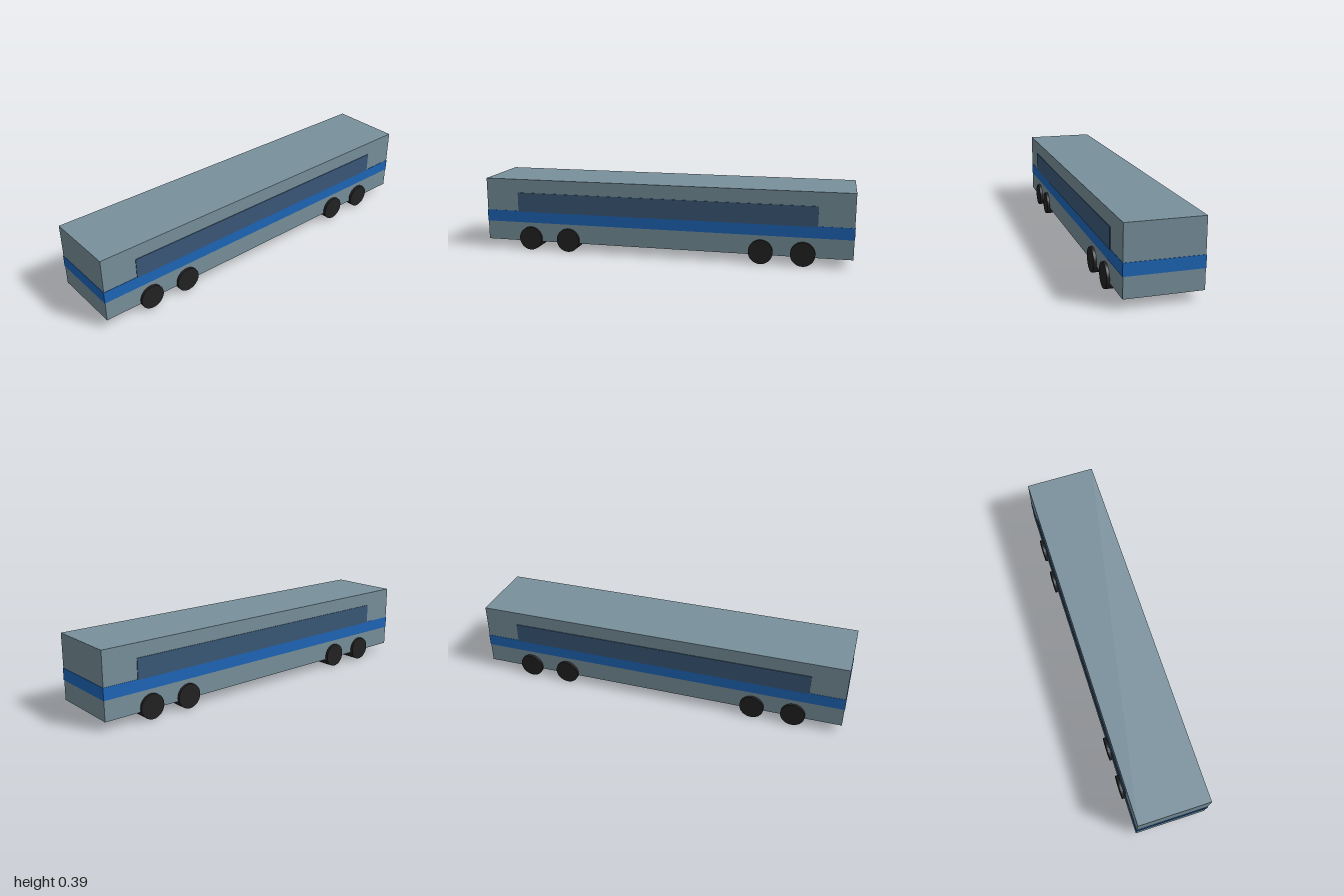
import * as THREE from 'three';

export function createModel() {
  const carriage = new THREE.Group();
  carriage.name = 'railCarriage';

  const paint = (color) => new THREE.MeshStandardMaterial({ color });
  const bodyPaint = paint(0x78909c);
  const stripePaint = paint(0x1e66b8);
  const glass = paint(0x3a5878);
  const rubber = paint(0x222222);

  // A box given by its half width, bottom, top and half length
  const addBox = (name, material, halfX, y0, y1, halfZ) => {
    const mesh = new THREE.Mesh(new THREE.BoxGeometry(2 * halfX, y1 - y0, 2 * halfZ), material);
    mesh.name = name;
    mesh.position.y = (y0 + y1) / 2;
    carriage.add(mesh);
  };

  addBox('body', bodyPaint, 0.191, 0.047, 0.392, 0.998);
  addBox('stripe', stripePaint, 0.1925, 0.151, 0.214, 1);
  // One band across the width shows as a window strip on each side
  addBox('windowBand', glass, 0.1945, 0.211, 0.318, 0.815);

  // Wheel rollers: two pairs, each spanning the full width
  const radius = 0.064;
  const wheelGeometry = new THREE.CylinderGeometry(radius, radius, 0.41, 32).rotateZ(Math.PI / 2);
  for (const z of [0.744, 0.527, -0.527, -0.744]) {
    const wheels = new THREE.Mesh(wheelGeometry, rubber);
    wheels.name = z > 0 ? 'frontWheels' : 'rearWheels';
    wheels.position.set(0, radius, z);
    carriage.add(wheels);
  }

  return carriage;
}
